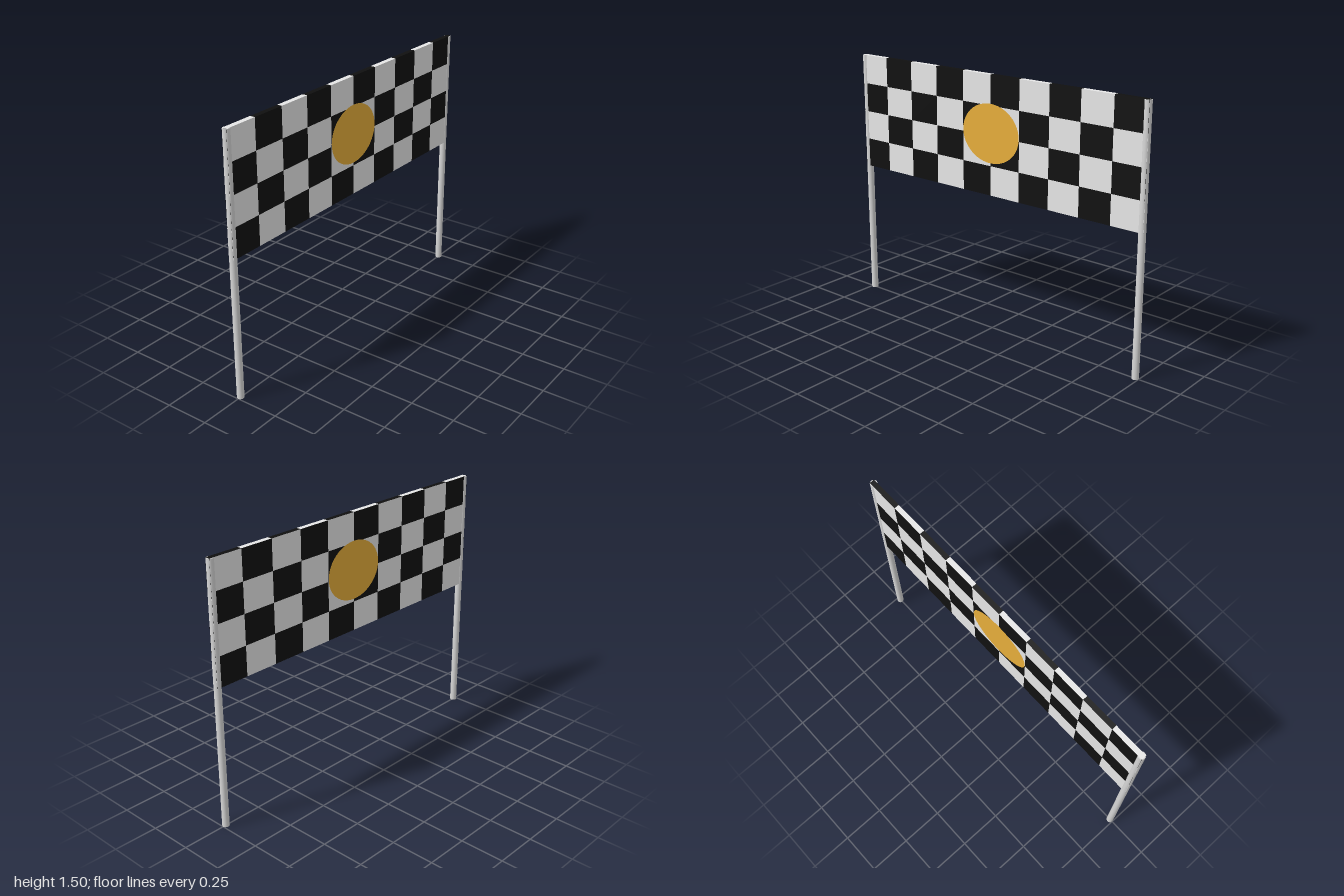
import * as THREE from 'three';

const WIDTH = 1.989, TOP = 1.495, BOTTOM = 0.812, DEPTH = 0.029;
const COLS = 10, ROWS = 4;

function makeMaterial(name, color) {
  const m = new THREE.MeshStandardMaterial({ color });
  m.name = name;
  return m;
}

// Box divided into squares, each square given the light or dark material
function checkeredBox() {
  const geo = new THREE.BoxGeometry(WIDTH, TOP - BOTTOM, DEPTH, COLS, ROWS, 1);
  geo.clearGroups();
  // Sides in order: left end, right end, top, bottom, front, back
  const sides = [
    [1, ROWS, 1], [1, ROWS, 1],
    [COLS, 1, 0], [COLS, 1, 0],
    [COLS, ROWS, 0], [COLS, ROWS, 0],
  ];
  let start = 0;
  for (const [cols, rows, shift] of sides) {
    for (let r = 0; r < rows; r++) {
      for (let c = 0; c < cols; c++) {
        geo.addGroup(start, 6, (r + c + shift) % 2);
        start += 6;
      }
    }
  }
  return geo;
}

export function createModel() {
  const model = new THREE.Group();
  model.name = 'finishBanner';
  const light = makeMaterial('white', 0xf5f5f5);
  const dark = makeMaterial('black', 0x101010);
  const gold = makeMaterial('gold', 0xf7ba40);
  const metal = makeMaterial('lightGrey', 0xd8d8d8);

  // Checkered banner
  const banner = new THREE.Mesh(checkeredBox(), [light, dark]);
  banner.name = 'banner';
  banner.position.y = (TOP + BOTTOM) / 2;
  model.add(banner);

  // Poles, just below the top edge of the banner
  const poleHeight = TOP - 0.001;
  for (const side of [1, -1]) {
    const pole = new THREE.Mesh(new THREE.CylinderGeometry(0.02, 0.02, poleHeight, 16), metal);
    pole.name = side > 0 ? 'leftPole' : 'rightPole';
    pole.position.set(side * 0.98, poleHeight / 2, 0);
    model.add(pole);
  }

  // Oval emblem on both faces
  for (const side of [1, -1]) {
    const oval = new THREE.Mesh(new THREE.CircleGeometry(1, 48), gold);
    oval.name = side > 0 ? 'frontOval' : 'backOval';
    oval.scale.set(0.198, 0.168, 1);
    oval.position.set(0, 1.167, side * (DEPTH / 2 + 0.001));
    if (side < 0) oval.rotation.y = Math.PI;
    model.add(oval);
  }
  return model;
}
